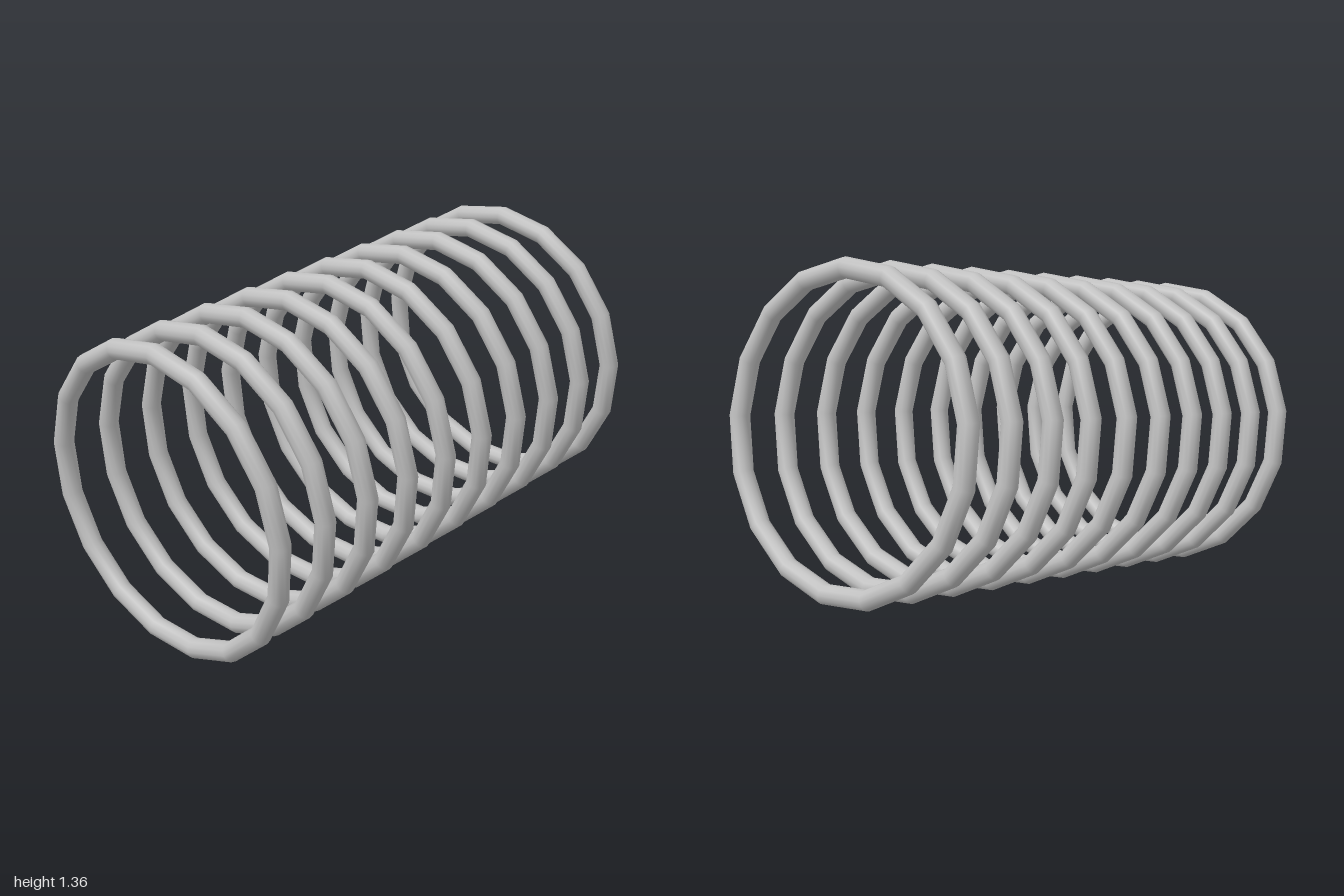
import * as THREE from 'three';

export function createModel() {
  const model = new THREE.Group();
  model.name = 'ringTunnel';

  const steel = new THREE.MeshStandardMaterial({ color: 0xc0c0c0 });
  steel.name = 'light steel grey';

  const COUNT = 10, SPACING = 0.202, TILT = 0.1158;
  const ringGeometry = new THREE.TorusGeometry(0.543, 0.036, 12, 17);

  // Row of equal rings along one axis, the whole row tipped down at the front
  const row = new THREE.Group();
  row.name = 'ringRow';
  for (let i = 0; i < COUNT; i++) {
    const ring = new THREE.Mesh(ringGeometry, steel);
    ring.name = `ring${i + 1}`;
    ring.position.z = ((COUNT - 1) / 2 - i) * SPACING;
    row.add(ring);
  }
  row.rotation.x = TILT;
  row.position.set(-0.005, 0.677, 0);
  model.add(row);

  return model;
}
